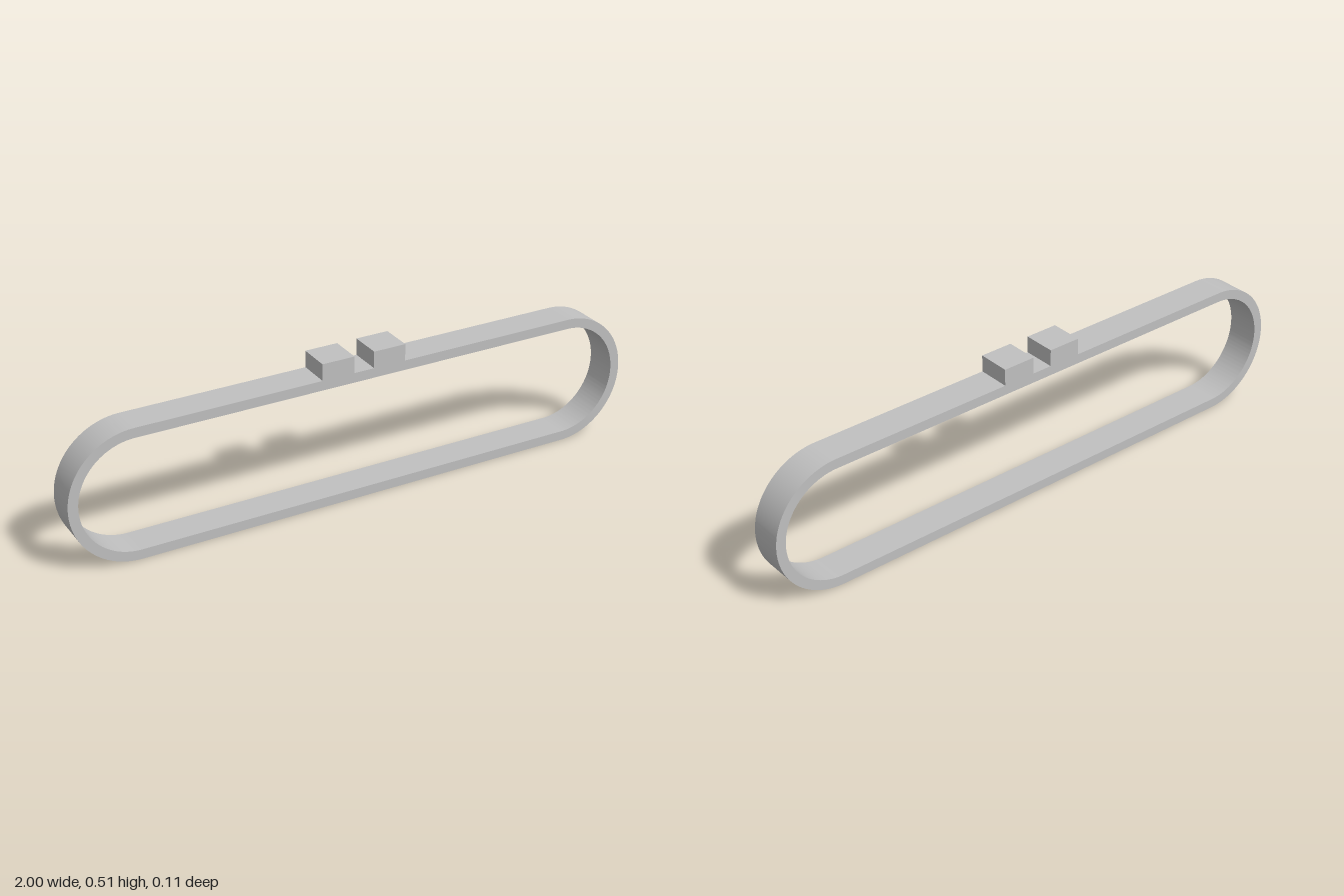
import * as THREE from 'three';
import { toCreasedNormals } from 'three/addons/utils/BufferGeometryUtils.js';

const DEPTH = 0.112;
const HEIGHT = 0.45;
const WALL = 0.033;
const RADIUS = HEIGHT / 2;
const ARC_X = 1 - RADIUS; // centres of the rounded ends

// Stadium outline: two half circles joined by straight runs
function stadium(target, r) {
  target.moveTo(-ARC_X, RADIUS - r);
  target.lineTo(ARC_X, RADIUS - r);
  target.absarc(ARC_X, RADIUS, r, -Math.PI / 2, Math.PI / 2, false);
  target.lineTo(-ARC_X, RADIUS + r);
  target.absarc(-ARC_X, RADIUS, r, Math.PI / 2, Math.PI * 1.5, false);
  return target;
}

export function createModel() {
  const group = new THREE.Group();
  group.name = 'bandClip';
  const grey = new THREE.MeshStandardMaterial({ color: 0xc0c0c0 });
  grey.name = 'light grey';

  // Closed loop band
  const shape = stadium(new THREE.Shape(), RADIUS);
  shape.holes.push(stadium(new THREE.Path(), RADIUS - WALL));
  const bandGeometry = new THREE.ExtrudeGeometry(shape, {
    depth: DEPTH, bevelEnabled: false, curveSegments: 48,
  });
  bandGeometry.translate(0, 0, -DEPTH / 2);
  const band = new THREE.Mesh(toCreasedNormals(bandGeometry, 0.5), grey);
  band.name = 'band';
  group.add(band);

  // Pair of blocks on top, with a slot between them
  const blockWidth = 0.113, blockHeight = 0.057, slot = 0.07;
  for (const [name, side] of [['leftBlock', 1], ['rightBlock', -1]]) {
    const block = new THREE.Mesh(new THREE.BoxGeometry(blockWidth, blockHeight, DEPTH), grey);
    block.name = name;
    block.position.set(side * (slot + blockWidth) / 2, HEIGHT + blockHeight / 2, 0);
    group.add(block);
  }
  return group;
}
